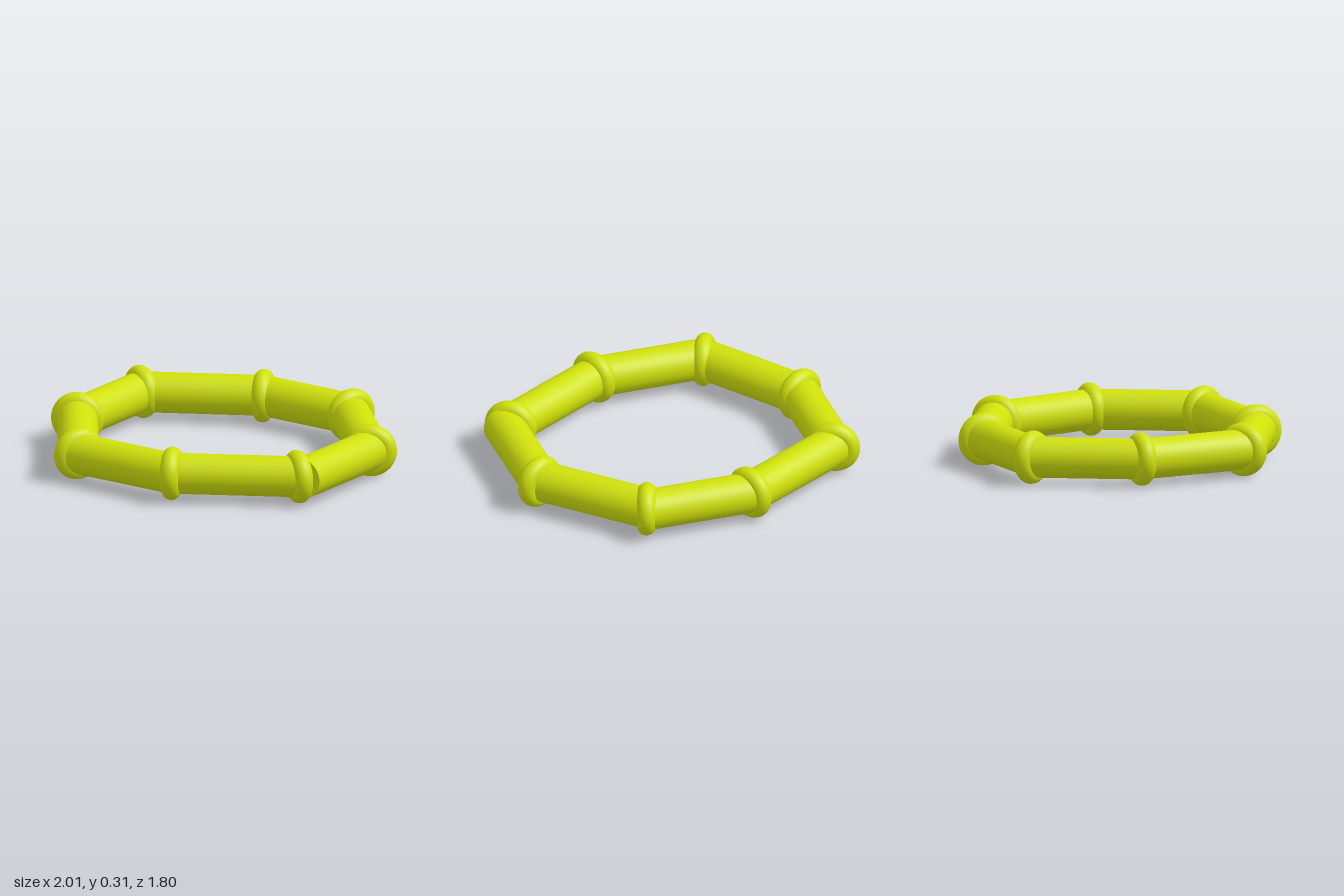
import * as THREE from 'three';

const Y = 0.153;          // height of the tube centre line
const TUBE = 0.117;       // tube radius
const RING = 0.099;       // ring centre radius
const RING_TUBE = 0.054;  // ring thickness radius

// Joints in order round the loop: x, z, and ring tilt seen from above
// (angle in degrees of the ring's edge-on line from +x towards +z)
const JOINTS = [
  [-0.245, -0.76, 64],
  [0.375, -0.752, -70],
  [0.858, -0.262, -27],
  [0.813, 0.39, 35],
  [0.19, 0.757, 64],
  [-0.47, 0.748, -64],
  [-0.864, 0.203, -27],
  [-0.861, -0.422, 27],
];

// Straight tube between two points on the centre line
function tube(a, b, material) {
  const dir = b.clone().sub(a);
  const mesh = new THREE.Mesh(
    new THREE.CylinderGeometry(TUBE, TUBE, dir.length(), 48), material);
  mesh.position.copy(a).add(b).multiplyScalar(0.5);
  mesh.quaternion.setFromUnitVectors(new THREE.Vector3(0, 1, 0), dir.normalize());
  return mesh;
}

export function createModel() {
  const group = new THREE.Group();
  group.name = 'segmentedRing';
  const material = new THREE.MeshStandardMaterial({ color: 0xcfe00c });
  const ringGeometry = new THREE.TorusGeometry(RING, RING_TUBE, 24, 64);

  // Each tube runs along one side of the octagon
  const ends = [
    [-0.245, -0.764, 0.375, -0.764],
    [0.365, -0.752, 0.834, -0.279],
    [0.855, -0.262, 0.855, 0.402],
    [0.813, 0.395, 0.19, 0.755],
    [0.19, 0.757, -0.47, 0.757],
    [-0.47, 0.748, -0.864, 0.203],
    [-0.863, 0.203, -0.863, -0.422],
    [-0.861, -0.415, -0.245, -0.765],
  ];
  ends.forEach(([x1, z1, x2, z2], i) => {
    const mesh = tube(new THREE.Vector3(x1, Y, z1), new THREE.Vector3(x2, Y, z2), material);
    mesh.name = `tube${i + 1}`;
    group.add(mesh);
  });

  // Rounded collar on every joint
  JOINTS.forEach(([x, z, tilt], i) => {
    const ring = new THREE.Mesh(ringGeometry, material);
    ring.name = `jointRing${i + 1}`;
    ring.position.set(x, Y, z);
    ring.rotation.y = -THREE.MathUtils.degToRad(tilt);
    group.add(ring);
  });
  return group;
}
